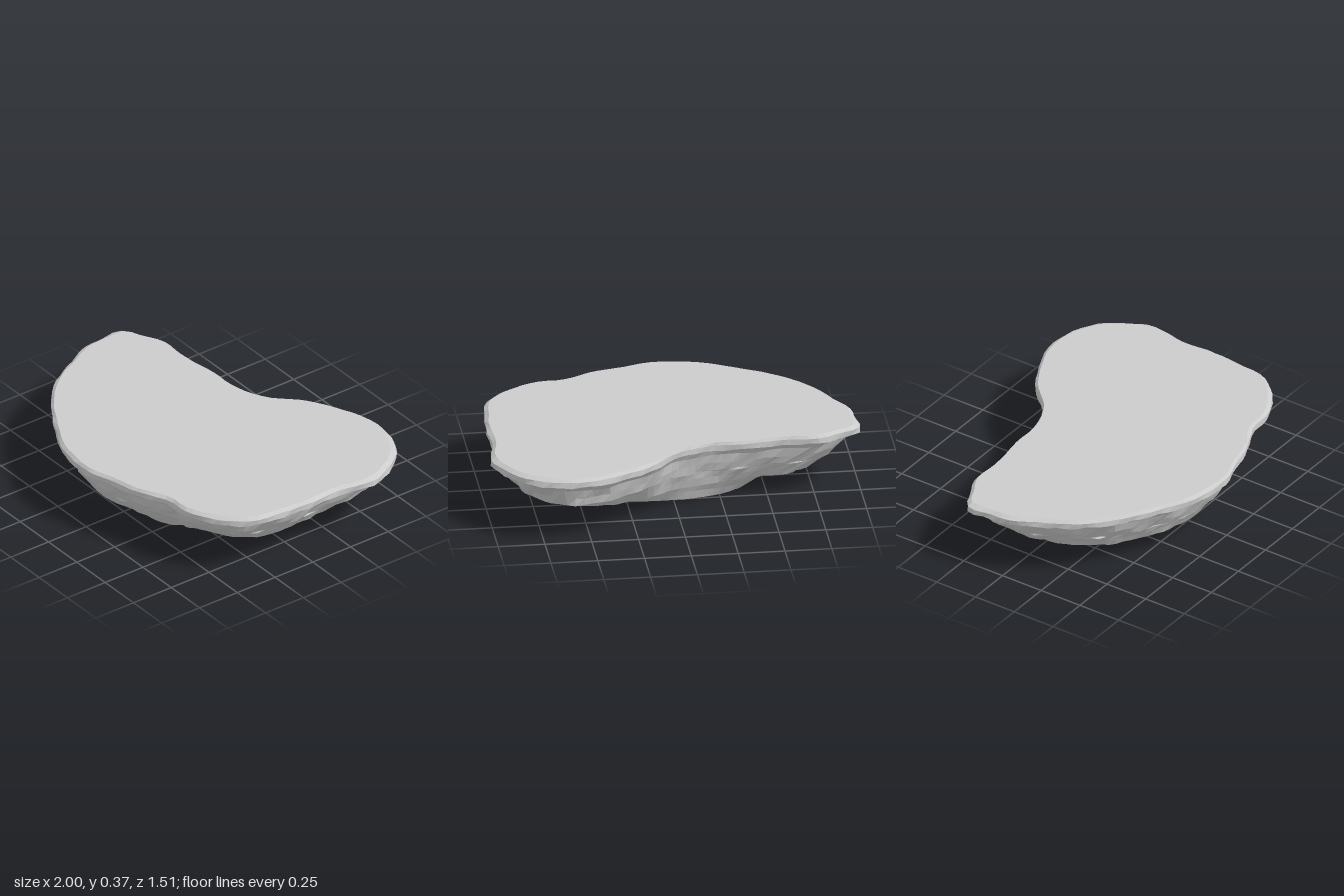
import * as THREE from 'three';

// Rim outline seen from above, as x, z pairs
const RIM = [
  -1, -0.23, -0.9, -0.285, -0.78, -0.345, -0.6, -0.34, -0.35, -0.37, -0.2, -0.37, 0, -0.44, 0.16, -0.6,
  0.32, -0.69, 0.48, -0.755, 0.7, -0.75, 0.85, -0.67, 0.95, -0.54, 0.995, -0.42, 0.965, -0.2, 0.97, 0,
  0.955, 0.2, 0.93, 0.34, 0.84, 0.46, 0.64, 0.57, 0.5, 0.58, 0.3, 0.67, 0.15, 0.705, 0, 0.75,
  -0.25, 0.72, -0.4, 0.65, -0.7, 0.46, -0.84, 0.3, -0.92, 0.15, -0.985, 0.02, -1, -0.12,
];

// Height, then spread (1 = rim, 0 = foot) above ledges, on plain slopes and at the back lobe, then roughness
const LEVELS = [
  [0.365, 0.94, 0.94, 0.95, 0.3],
  [0.35, 0.99, 0.99, 0.99, 0.4],
  [0.32, 0.99, 0.99, 1, 0.4],
  [0.29, 0.87, 0.87, 0.95, 0.8],
  [0.24, 0.8, 0.8, 0.91, 1],
  [0.195, 0.72, 0.7, 0.89, 1],
  [0.187, 0.7, 0.67, 0.75, 1],
  [0.15, 0.62, 0.56, 0.63, 1],
  [0.102, 0.53, 0.41, 0.53, 1],
  [0.095, 0.25, 0.36, 0.24, 0.8],
  [0.05, 0.11, 0.17, 0.11, 0.8],
  [0, 0, 0, 0, 0.4],
];

// Places along the rim without a ledge below them, and the back lobe: x, z, radius
const SLOPES = [[0.84, 0.46, 0.3], [0.35, 0.66, 0.35], [-0.5, -0.35, 0.3]];
const LOBE = [0.6, -0.75, 0.39];

const SEGMENTS = 110;
const CENTRE = { x: 0.06, z: 0.085 };
const { lerp } = THREE.MathUtils;

const nearness = (p, [x, z, r]) => Math.exp(-((p.x - x) ** 2 + (p.z - z) ** 2) / (r * r));
const squareOff = (v) => Math.sign(v) * Math.abs(v) ** 0.85;

// Point of the foot below a rim point, with its front left corner cut back
function footPoint(p) {
  const a = Math.atan2((p.z - CENTRE.z) / 0.75, p.x - CENTRE.x);
  const size = 1 - 0.28 * Math.exp(-(((a - 0.8) / 0.4) ** 2));
  return {
    x: CENTRE.x + squareOff(Math.cos(a)) * 0.52 * size,
    z: CENTRE.z + squareOff(Math.sin(a)) * 0.345 * size,
  };
}

// Smoothly varying roughness for the rock face
const rough = (i, level) => {
  const a = (i / SEGMENTS) * Math.PI * 2;
  return Math.sin(a * 17 + level * 1.3) * 0.45 + Math.sin(a * 29 - level * 2.1) * 0.35 + Math.sin(a * 41 + level * 4.7) * 0.3;
};

function rockGeometry() {
  const corners = [];
  for (let i = 0; i < RIM.length; i += 2) corners.push(new THREE.Vector3(RIM[i], 0, RIM[i + 1]));
  const rim = new THREE.CatmullRomCurve3(corners, true).getSpacedPoints(SEGMENTS).slice(0, SEGMENTS);

  // Rings stepping inwards from the rim to the foot
  const positions = [];
  LEVELS.forEach(([y, ledge, slope, lobe, noise], level) => {
    rim.forEach((p, i) => {
      const foot = footPoint(p);
      const slopeWeight = Math.max(...SLOPES.map((spot) => nearness(p, spot)));
      const t = lerp(lerp(ledge, slope, slopeWeight), lobe, nearness(p, LOBE));
      const push = 1 + rough(i, level) * 0.014 * noise;
      const wave = level > 1 && y > 0.11 ? rough(i + 7, level * 3) * 0.005 : 0;
      positions.push(
        CENTRE.x + (lerp(foot.x, p.x, t) - CENTRE.x) * push,
        y + wave,
        CENTRE.z + (lerp(foot.z, p.z, t) - CENTRE.z) * push,
      );
    });
  });

  // Walls between rings, then flat caps on top and underneath
  const index = [];
  const last = (LEVELS.length - 1) * SEGMENTS;
  const top = positions.length / 3;
  positions.push(0.15, LEVELS[0][0], 0.08, CENTRE.x, 0, CENTRE.z);
  for (let i = 0; i < SEGMENTS; i++) {
    const j = (i + 1) % SEGMENTS;
    for (let r = 0; r < last; r += SEGMENTS) {
      const s = r + SEGMENTS;
      index.push(r + i, r + j, s + j, r + i, s + j, s + i);
    }
    index.push(top, j, i, top + 1, last + i, last + j);
  }
  const geometry = new THREE.BufferGeometry();
  geometry.setAttribute('position', new THREE.Float32BufferAttribute(positions, 3));
  geometry.setIndex(index);
  const flat = geometry.toNonIndexed();
  flat.computeVertexNormals();
  return flat;
}

export function createModel() {
  const group = new THREE.Group();
  const rock = new THREE.Mesh(
    rockGeometry(),
    new THREE.MeshStandardMaterial({ color: 0xcccccc, flatShading: true }),
  );
  rock.name = 'terracedRock';
  group.add(rock);
  return group;
}
